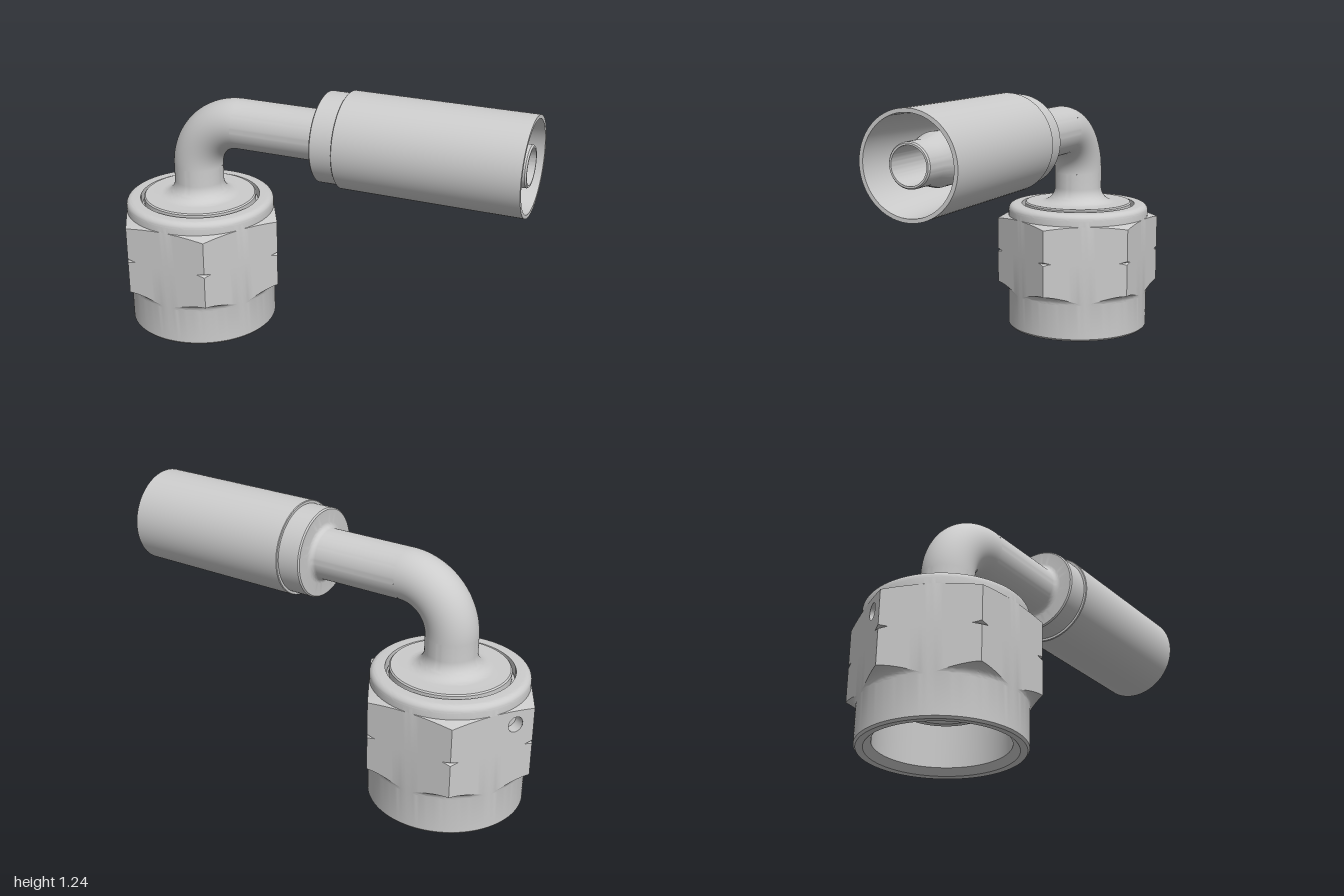
import * as THREE from 'three';
import { toCreasedNormals } from 'three/addons/utils/BufferGeometryUtils.js';

const AXIS_X = -0.593;   // vertical axis of the nut
const PIPE_Y = 1.02;     // height of the horizontal axis
const BEND = 0.23, PIPE_R = 0.117, BORE_R = 0.079;
const FLAT = 0.353, CORNER = FLAT / Math.cos(Math.PI / 6);
const SEG = 144;

const material = new THREE.MeshStandardMaterial({ color: 0xcccccc });
const inside = new THREE.MeshStandardMaterial({ color: 0xcccccc, side: THREE.BackSide });

function part(name, geometry, mat = material) {
  const mesh = new THREE.Mesh(geometry, mat);
  mesh.name = name;
  return mesh;
}

const vectors = (pts) => pts.map(([r, y]) => new THREE.Vector2(r, y));

function lathe(pts) {
  return toCreasedNormals(new THREE.LatheGeometry(vectors(pts), 80), 0.5);
}

// Points on an arc in a lathe profile, angles in degrees
function arc(cr, cy, radius, from, to, steps = 8) {
  return Array.from({ length: steps + 1 }, (_, i) => {
    const a = THREE.MathUtils.degToRad(from + (to - from) * i / steps);
    return [cr + radius * Math.cos(a), cy + radius * Math.sin(a)];
  });
}

// Hexagon radius at an angle, with face centres at multiples of 60 degrees
function hexRadius(phi) {
  const step = Math.PI / 3;
  return FLAT / Math.cos(phi - Math.round(phi / step) * step);
}

const cornerness = (r) => Math.max(0, (r - FLAT) / (CORNER - FLAT));
const chamferLow = (r) => 0.18 + 0.045 * Math.sqrt(Math.max(0, 1 - (1 - cornerness(r)) ** 2));
const chamferTop = (r) => 0.57 - 0.015 * cornerness(r);
const notchHalf = (r) => 0.009 * Math.max(0, (r - 0.391) / (CORNER - 0.391));

// Cross-section of the nut where its hexagon has radius R
function nutProfile(R) {
  const pts = [[0.285, 0.6], [0.285, 0.03], [0.315, 0.002], [0.345, 0], [FLAT, 0.01]];
  for (let i = 0; i <= 6; i++) {
    const r = FLAT + (R - FLAT) * (i / 6) ** 2;
    pts.push([r, chamferLow(r)]);
  }
  const h = notchHalf(R);
  pts.push([R, 0.39 - h], [Math.min(R, 0.391), 0.39], [R, 0.39 + h], [R, chamferTop(R)]);
  pts.push([FLAT, 0.571], ...arc(FLAT - 0.03, 0.6, 0.03, 0, 90, 6), [0.285, 0.63], [0.285, 0.6]);
  return pts;
}

function buildNut() {
  const group = new THREE.Group();
  group.name = 'swivelNut';

  // Lathe whose sections follow the hexagon
  const count = nutProfile(CORNER).length;
  const geo = new THREE.LatheGeometry(vectors(nutProfile(CORNER)), SEG);
  for (let i = 0; i <= SEG; i++) {
    const phi = i / SEG * Math.PI * 2;
    nutProfile(hexRadius(phi)).forEach(([r, y], j) =>
      geo.attributes.position.setXYZ(i * count + j, r * Math.sin(phi), y, r * Math.cos(phi)));
  }

  // Leave the upper half of one flat open for the drilled panel
  const centre = Math.PI * 4 / 3, mid = SEG * 2 / 3, half = SEG / 12;
  const row = 14, kept = [], index = geo.index.array;
  for (let q = 0; q < index.length; q += 6) {
    const seg = Math.floor(q / 6 / (count - 1)), j = (q / 6) % (count - 1);
    const open = j === row && seg >= mid - half && seg < mid + half;
    if (!open) kept.push(...index.slice(q, q + 6));
  }
  geo.setIndex(kept);
  group.add(part('nutBody', toCreasedNormals(geo, 0.3)));

  // Drilled panel
  const low = [], high = [];
  for (let i = -half; i <= half; i++) {
    const a = i / SEG * Math.PI * 2, R = hexRadius(a), u = FLAT * Math.tan(a);
    low.push(new THREE.Vector2(u, 0.39 + notchHalf(R)));
    high.unshift(new THREE.Vector2(u, chamferTop(R)));
  }
  const shape = new THREE.Shape([...low, ...high]);
  const holeR = 0.036, holeU = 0.11, holeY = 0.5, depth = 0.05;
  shape.holes.push(new THREE.Path().absarc(holeU, holeY, holeR, 0, Math.PI * 2, true));
  const panel = new THREE.Group();
  panel.name = 'drilledPanel';
  panel.rotation.y = centre;
  const face = part('panelFace', new THREE.ShapeGeometry(shape, 24));
  face.position.z = FLAT;
  const wall = part('holeWall', new THREE.CylinderGeometry(holeR, holeR, depth, 32, 1, true), inside);
  wall.rotation.x = Math.PI / 2;
  wall.position.set(holeU, holeY, FLAT - depth / 2);
  const floor = part('holeFloor', new THREE.CircleGeometry(holeR, 32));
  floor.position.set(holeU, holeY, FLAT - depth);
  panel.add(face, wall, floor);
  group.add(panel);
  return group;
}

export function createModel() {
  const model = new THREE.Group();
  model.name = 'elbowHoseFitting';

  const nut = buildNut();
  nut.position.x = AXIS_X;
  model.add(nut);

  // Stem held in the nut: sealing nose below, flange and fillet above
  const bendY = PIPE_Y - BEND;
  const stem = part('stem', lathe([
    [BORE_R, bendY], [BORE_R, 0.26], [0.15, 0.19], [0.16, 0.18], [0.187, 0.18],
    [0.28, 0.29], [0.28, 0.59], [0.268, 0.6], [0.268, 0.634], [0.262, 0.64],
    ...arc(0.19, 0.713, 0.073, -90, -180, 12), [PIPE_R, bendY],
  ]));
  stem.position.x = AXIS_X;
  model.add(stem);

  // Quarter bend and its bore
  const bendX = AXIS_X + BEND;
  for (const [name, radius, mat] of [['bend', PIPE_R, material], ['bendBore', BORE_R, inside]]) {
    const bend = part(name, new THREE.TorusGeometry(BEND, radius, 64, 40, Math.PI / 2), mat);
    bend.rotation.z = Math.PI / 2;
    bend.position.set(bendX, bendY, 0);
    model.add(bend);
  }

  // Straight pipe with collar, lying along x
  const pipe = part('pipeAndCollar', lathe([
    [PIPE_R, bendX], [PIPE_R, 0.04], ...arc(0.142, 0.04, 0.025, 180, 90, 6),
    [0.2, 0.065], [0.206, 0.071], [0.206, 0.178],
  ]));
  // Crimp sleeve, open at the end
  const sleeve = part('sleeve', lathe([
    [0.2, 0.175], [0.217, 0.175], [0.22, 0.178], [0.22, 1], [0.203, 1],
    [0.2, 0.92], [0.172, 0.35], [0.11, 0.35],
  ]));
  // Hose nipple inside the sleeve, bored through to the bend
  const nipple = part('nipple', lathe([
    [0.112, 0.35], [0.112, 0.8], [0.092, 0.88], [0.092, 0.985], [0.087, 0.992],
    [BORE_R, 0.992], [BORE_R, bendX],
  ]));
  for (const mesh of [pipe, sleeve, nipple]) {
    mesh.rotation.z = -Math.PI / 2;
    mesh.position.y = PIPE_Y;
    model.add(mesh);
  }
  return model;
}
